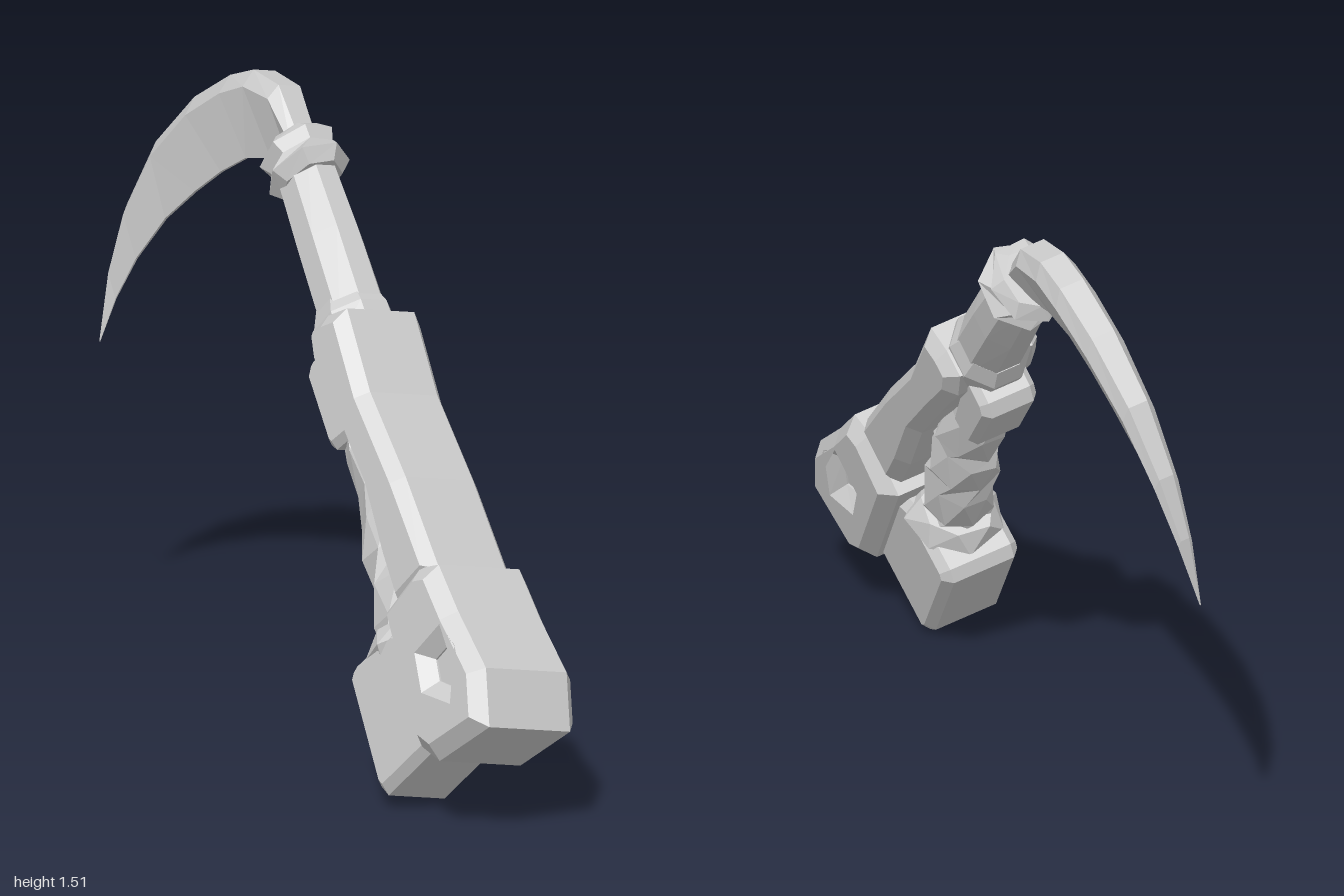
import * as THREE from 'three';

// Tilted build frame: u runs backwards (-z), v runs up, w is the thickness across the tool.
const LEAN = 0.223, YAW = -0.092, OFFSET = -0.127;
const FRAME = new THREE.Matrix4().makeBasis(
  new THREE.Vector3(-YAW, 0, -1),
  new THREE.Vector3(LEAN, 1, 0),
  new THREE.Vector3(1, -LEAN, -YAW).normalize()
).setPosition(OFFSET, 0, 0);

const material = new THREE.MeshStandardMaterial({ color: 0xcccccc, flatShading: true });

function part(name, geometry) {
  geometry.applyMatrix4(FRAME);
  const mesh = new THREE.Mesh(geometry, material);
  mesh.name = name;
  return mesh;
}

// Bevelled slab: side outline given counter-clockwise, half thickness, bevel width
function slab(name, outline, half, bevel, hole) {
  const toPoints = list => list.map(([u, v]) => new THREE.Vector2(u, v));
  const shape = new THREE.Shape(toPoints(outline));
  if (hole) shape.holes.push(new THREE.Path(toPoints(hole)));
  const depth = 2 * (half - bevel);
  const geometry = new THREE.ExtrudeGeometry(shape, {
    depth, bevelEnabled: true, bevelSegments: 1,
    bevelSize: bevel, bevelThickness: bevel, bevelOffset: -bevel
  });
  geometry.translate(0, 0, -depth / 2);
  return part(name, geometry);
}

// Skin over rings of points, closed at both ends
function loft(name, rings) {
  const n = rings[0].length, index = [];
  const last = (rings.length - 1) * n;
  for (let r = 0; r < rings.length - 1; r++) {
    for (let i = 0; i < n; i++) {
      const a = r * n + i, b = r * n + (i + 1) % n;
      index.push(a, b, b + n, a, b + n, a + n);
    }
  }
  for (let i = 1; i < n - 1; i++) {
    index.push(0, i + 1, i, last, last + i, last + i + 1);
  }
  const geometry = new THREE.BufferGeometry();
  geometry.setAttribute('position', new THREE.Float32BufferAttribute(rings.flat(2), 3));
  geometry.setIndex(index);
  const flat = geometry.toNonIndexed();
  flat.computeVertexNormals();
  return part(name, flat);
}

// Faceted bar through sections [u, v, radius in plane, radius across, twist]
function bar(name, sections, sides, jitter = () => 1) {
  const first = sections[0], end = sections[sections.length - 1];
  const length = Math.hypot(end[0] - first[0], end[1] - first[1]);
  const du = (end[0] - first[0]) / length, dv = (end[1] - first[1]) / length;
  return loft(name, sections.map(([u, v, r, rw, twist = 0]) =>
    Array.from({ length: sides }, (_, i) => {
      const t = (i / sides) * Math.PI * 2 + twist, k = jitter();
      const c = Math.cos(t) * r * k;
      return [u - dv * c, v + du * c, Math.sin(t) * rw * k];
    })));
}

function seeded(seed) {
  return () => (seed = (seed * 16807) % 2147483647) / 2147483647;
}

export function createModel() {
  const model = new THREE.Group();
  model.name = 'sickleTool';

  // Curved blade: pairs of spine and cutting-edge points
  const blade = [
    [0.30, 1.39, 0.34, 1.31, 0.8], [0.42, 1.50, 0.44, 1.32, 1],
    [0.53, 1.51, 0.54, 1.295, 1], [0.62, 1.475, 0.63, 1.24, 1],
    [0.75, 1.39, 0.72, 1.17, 0.95], [0.88, 1.25, 0.82, 1.08, 0.8],
    [0.96, 1.08, 0.91, 0.96, 0.6], [0.993, 0.92, 0.965, 0.85, 0.35],
    [1.0, 0.74, 0.998, 0.738, 0.03]
  ];
  const section = [[0, 0.032], [0.2, 0.055], [1, 0.004], [1, -0.004], [0.2, -0.055], [0, -0.032]];
  model.add(loft('blade', blade.map(([ou, ov, iu, iv, k]) =>
    section.map(([t, w]) => [ou + (iu - ou) * t, ov + (iv - ov) * t, w * k]))));

  // Neck rod and its two faceted collars
  const e = Math.PI / 8;
  model.add(bar('neck', [
    [-0.03, 1.01, 0.09, 0.085, e], [0.15, 1.185, 0.088, 0.08, e], [0.33, 1.355, 0.08, 0.07, e]
  ], 8));
  model.add(bar('bladeCollar', [
    [0.26, 1.305, 0.085, 0.075, 0.2], [0.285, 1.325, 0.112, 0.105, 0.2],
    [0.31, 1.345, 0.092, 0.08, 0.5], [0.34, 1.36, 0.108, 0.095, 0.5],
    [0.36, 1.38, 0.075, 0.065, 0.4]
  ], 7));
  model.add(bar('bodyCollar', [
    [-0.06, 0.98, 0.10, 0.10, e], [0.0, 1.03, 0.105, 0.10, e], [0.035, 1.065, 0.085, 0.08, e]
  ], 8));

  // Long sloping body
  model.add(slab('body', [
    [-0.53, 0.46], [-0.43, 0.56], [-0.31, 0.70], [-0.15, 0.83], [-0.02, 0.93],
    [0.02, 1.0], [-0.03, 1.05], [-0.10, 1.085], [-0.25, 0.92], [-0.45, 0.765],
    [-0.65, 0.59]
  ], 0.13, 0.03));

  // Heavy butt with a five-sided recess on each side
  model.add(slab('butt', [
    [-0.985, 0.29], [-0.81, 0.165], [-0.73, 0.18], [-0.50, 0.45], [-0.60, 0.58],
    [-0.67, 0.605], [-0.78, 0.52], [-0.93, 0.42]
  ], 0.155, 0.035, [
    [-0.82, 0.345], [-0.755, 0.345], [-0.725, 0.39], [-0.77, 0.44], [-0.805, 0.425]
  ]));
  model.add(slab('recessFloor', [
    [-0.88, 0.30], [-0.68, 0.32], [-0.68, 0.46], [-0.86, 0.46]
  ], 0.115, 0.005));

  // Block under the butt
  model.add(slab('lowerBlock', [
    [-0.76, 0.20], [-0.58, 0.027], [-0.545, 0.04], [-0.36, 0.25], [-0.365, 0.285],
    [-0.50, 0.41], [-0.60, 0.42]
  ], 0.105, 0.022));

  // Rough grip under the body, with a wider cuff at its base
  const random = seeded(11);
  model.add(bar('grip', [
    [-0.48, 0.37, 0.08, 0.085], [-0.43, 0.42, 0.085, 0.085, 0.45],
    [-0.385, 0.50, 0.095, 0.075], [-0.34, 0.56, 0.085, 0.085, 0.45],
    [-0.295, 0.64, 0.095, 0.07], [-0.25, 0.69, 0.085, 0.08, 0.45],
    [-0.18, 0.77, 0.085, 0.065], [-0.09, 0.85, 0.07, 0.06, 0.45]
  ], 7, () => 0.88 + 0.24 * random()));
  model.add(bar('gripCuff', [
    [-0.50, 0.32, 0.09, 0.09], [-0.47, 0.36, 0.11, 0.12, 0.3], [-0.44, 0.40, 0.09, 0.095]
  ], 7, () => 0.92 + 0.16 * random()));

  // Small block below the collar
  model.add(slab('upperBlock', [
    [-0.165, 0.80], [-0.10, 0.745], [-0.075, 0.75], [0.058, 0.88], [0.055, 0.92],
    [0.0, 0.98], [-0.05, 0.95]
  ], 0.075, 0.018));

  return model;
}
